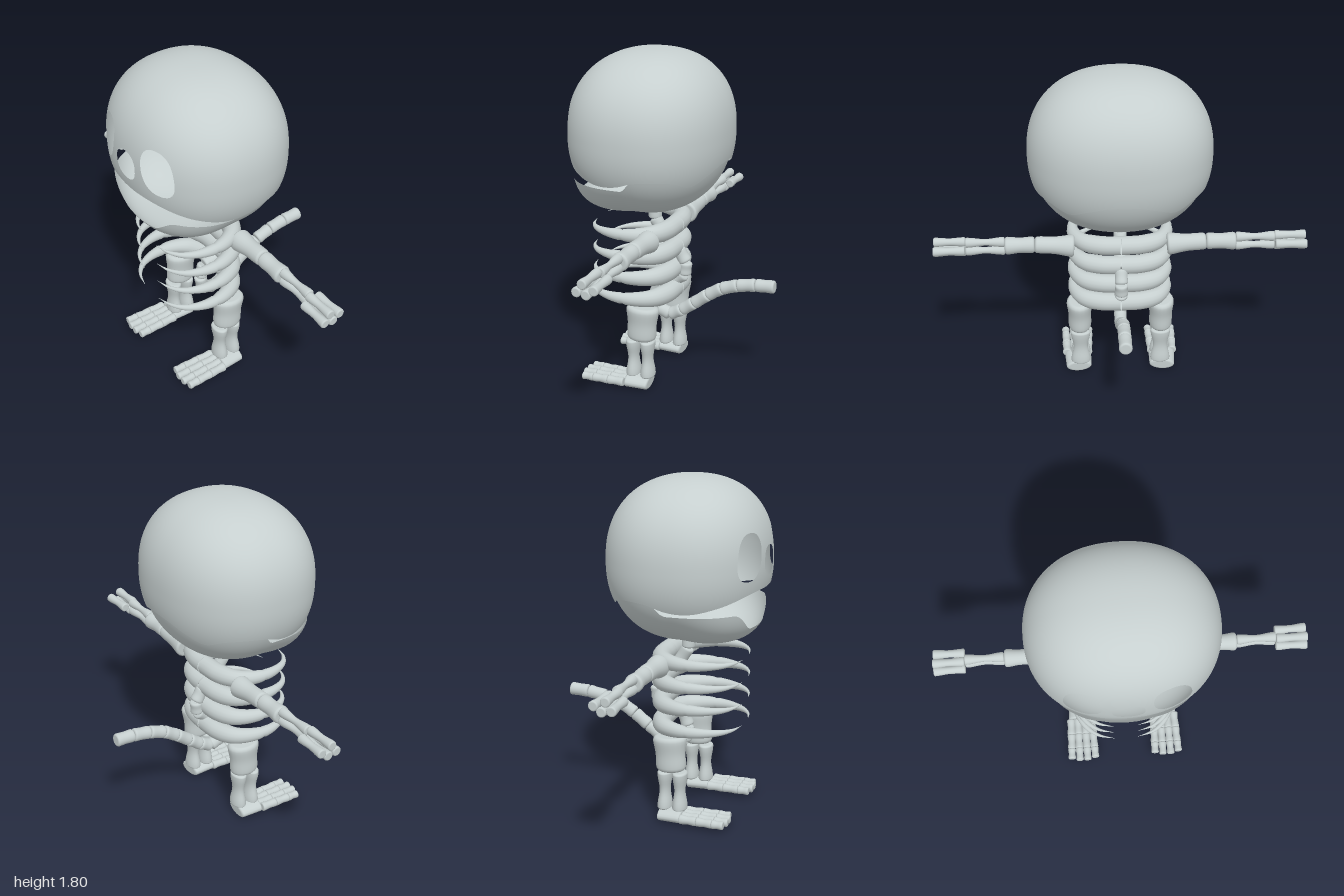
import * as THREE from 'three';

const bonePale = new THREE.MeshStandardMaterial({ color: 0xc6cfcf, side: THREE.DoubleSide });
bonePale.name = 'paleBone';

const UP = new THREE.Vector3(0, 1, 0);
const V = (x, y, z) => new THREE.Vector3(x, y, z);

function addMesh(parent, name, geometry) {
  const mesh = new THREE.Mesh(geometry, bonePale);
  mesh.name = name;
  parent.add(mesh);
  return mesh;
}

// Straight bone with rounded ends and a waist; "flat" widens its local x axis
function bone(parent, name, p, q, r0, r1 = r0, waist = 0.93, flat = 1) {
  const dir = q.clone().sub(p);
  const len = dir.length();
  const e = Math.min(0.3 * Math.min(r0, r1), len * 0.15);
  const profile = [[0, 0]];
  for (let k = 0; k <= 4; k++) {
    const a = (k / 4) * Math.PI / 2;
    profile.push([r0 - e + e * Math.sin(a), e - e * Math.cos(a)]);
  }
  for (let k = 1; k < 10; k++) {
    const t = k / 10;
    const pinch = 1 - (1 - waist) * Math.sin(t * Math.PI) ** 2;
    profile.push([(r0 + (r1 - r0) * t) * pinch, e + (len - 2 * e) * t]);
  }
  for (let k = 0; k <= 4; k++) {
    const a = (k / 4) * Math.PI / 2;
    profile.push([r1 - e + e * Math.cos(a), len - e + e * Math.sin(a)]);
  }
  profile.push([0, len]);
  const geo = new THREE.LatheGeometry(profile.map(([x, y]) => new THREE.Vector2(x, y)), 20);
  geo.scale(flat, 1, 1);
  const mesh = addMesh(parent, name, geo);
  mesh.position.copy(p);
  mesh.quaternion.setFromUnitVectors(UP, dir.normalize());
}

// ---- Skull dimensions ----
const CY = 1.38, CZ = 0.135, RX = 0.485, RZ = 0.42, RY = 0.425, P = 2.2, N = 2.3;

// Eye and nose openings: below 1 is inside
const openings = [
  { x: 0.214, y: 1.432, rx: 0.092, ry: 0.118, lean: -0.17 },
  { x: -0.214, y: 1.432, rx: 0.092, ry: 0.118, lean: 0.17 },
  { x: 0, y: 1.388, rx: 0.08, ry: 0.077, lean: 0 },
];
function openingValue(o, x, y) {
  const dx = Math.abs(x - o.x - o.lean * (y - o.y)) / o.rx;
  const dy = Math.abs(y - o.y) / o.ry;
  return (dx ** 2.4 + dy ** 2.4) ** (1 / 2.4);
}
function frontZ(x, y) {
  const t = Math.abs(y - CY) / RY;
  const h = (1 - t ** N) ** (1 / N);
  return CZ + RZ * (h ** P - (Math.abs(x) / RX) ** P) ** (1 / P);
}

// Superellipsoid shell from heights lo(azimuth) to hi(azimuth)
function shell(cols, rows, lo, hi, sharpness, scale, cut) {
  const pos = [], index = [], outside = [];
  const angleOf = (y, n) => {
    const t = Math.max(-1, Math.min(1, (y - CY) / RY));
    return Math.sign(t) * Math.asin(Math.abs(t) ** (n / 2));
  };
  for (let j = 0; j <= rows; j++) {
    for (let i = 0; i < cols; i++) {
      const a = (i / cols) * Math.PI * 2, s = Math.sin(a), c = Math.cos(a);
      const n = sharpness(c);
      const deg = Math.acos(Math.max(-1, Math.min(1, c))) * 180 / Math.PI;
      const f0 = angleOf(lo(deg), n), f1 = angleOf(hi(deg), n);
      const f = f0 + (f1 - f0) * j / rows;
      const h = Math.max(0, Math.cos(f)) ** (2 / n);
      const rho = scale * h / (Math.abs(s) ** P + Math.abs(c) ** P) ** (1 / P);
      let x = RX * rho * s, z = CZ + RZ * rho * c;
      let y = CY + RY * Math.sign(f) * Math.abs(Math.sin(f)) ** (2 / n);
      let solid = true;
      if (cut && c > 0) {
        for (const o of openings) {
          const v = openingValue(o, x, y);
          if (v > 1) continue;
          solid = false;
          if (v > 0.6) {
            // pull the inner ring onto the outline of the opening
            x = o.x + (x - o.x) / v;
            y = o.y + (y - o.y) / v;
            z = frontZ(x, y);
          }
        }
      }
      pos.push(x, y, z);
      outside.push(solid);
    }
  }
  for (let j = 0; j < rows; j++) {
    for (let i = 0; i < cols; i++) {
      const k = (i + 1) % cols;
      const A = j * cols + i, B = j * cols + k, C = B + cols, D = A + cols;
      for (const tri of [[A, B, C], [A, C, D]]) {
        if (tri.some((v) => outside[v])) index.push(...tri);
      }
    }
  }
  const geo = new THREE.BufferGeometry();
  geo.setAttribute('position', new THREE.Float32BufferAttribute(pos, 3));
  geo.setIndex(index);
  geo.computeVertexNormals();
  return geo;
}

function buildHead(parent) {
  const head = new THREE.Group();
  head.name = 'head';
  parent.add(head);
  // Wavy lower edge of the cranium, by degrees from the front
  const edge = new THREE.CubicInterpolant(
    [0, 20, 32, 50, 72, 88, 102, 118, 130, 143, 158, 170, 180],
    [1.25, 1.25, 1.235, 1.2, 1.17, 1.18, 1.21, 1.215, 1.205, 1.17, 1.21, 1.24, 1.245], 1);
  addMesh(head, 'cranium', shell(240, 80, (d) => edge.evaluate(d)[0], () => CY + RY,
    () => N, 1, true));
  // Jaw bowl: low lip at the front, rising at the cheeks and tucking in at the back
  const step = THREE.MathUtils.smoothstep;
  const lip = (d) => 1.052 + 0.098 * step(d, 16, 38) + 0.06 * step(d, 90, 101)
    + 0.04 * step(d, 148, 175);
  addMesh(head, 'jaw', shell(120, 32, () => CY - RY, lip,
    (c) => N + 2.2 * Math.max(0, c) ** 2, 0.965, false));
}

function buildRibs(parent) {
  const seg = 48, sides = 16;
  for (const y of [0.865, 0.745, 0.627, 0.508]) {
    for (const s of [1, -1]) {
      const path = new THREE.CatmullRomCurve3([
        V(0, y, 0.01), V(0.11, y, 0.018), V(0.2, y, 0.06), V(0.25, y, 0.15),
        V(0.255, y, 0.26), V(0.215, y, 0.36), V(0.15, y, 0.415), V(0.065, y, 0.44),
      ].map((p) => p.setX(p.x * s)));
      const geo = new THREE.TubeGeometry(path, seg, 1, sides);
      const pos = geo.attributes.position;
      for (let i = 0; i <= seg; i++) {
        const c = path.getPointAt(i / seg);
        // thick at the spine, pointed at the breast, with a joint halfway
        const joint = 1 - 0.15 * Math.exp(-(((c.z - 0.2) / 0.008) ** 2));
        const r = Math.max(0.001, 0.051 * Math.min(1, (1 - i / seg) / 0.78)) * joint;
        for (let k = 0; k <= sides; k++) {
          const n = i * (sides + 1) + k;
          const v = V().fromBufferAttribute(pos, n).sub(c).multiplyScalar(r).add(c);
          pos.setXYZ(n, v.x, v.y, v.z);
        }
      }
      addMesh(parent, 'rib', geo);
    }
  }
}

function chain(parent, name, points, r) {
  for (let i = 0; i + 1 < points.length; i++) {
    bone(parent, name, V(0, ...points[i]), V(0, ...points[i + 1]), r, r, 0.95);
  }
}

function buildLimbs(parent, s) {
  const W = (x, y, z) => V(x * s, y, z);
  // Arm
  bone(parent, 'shoulder', W(0.25, 0.847, 0.05), W(0.46, 0.86, 0.05), 0.06, 0.045, 0.9);
  bone(parent, 'upperArm', W(0.46, 0.86, 0.05), W(0.62, 0.857, 0.05), 0.044, 0.048, 0.9);
  for (const y of [0.881, 0.832]) {
    bone(parent, 'forearm', W(0.62, y, 0.05), W(0.83, y, 0.05), 0.027, 0.027, 0.66);
  }
  for (const [y, z] of [[0.882, 0.06], [0.858, 0], [0.84, 0.09], [0.832, 0.04]]) {
    bone(parent, 'finger', W(0.83, y, 0.05 + (z - 0.05) * 0.9), W(1, y, z), 0.025, 0.025, 0.8);
  }
  // Leg
  bone(parent, 'thigh', W(0.228, 0.28, 0.11), W(0.228, 0.47, 0.1), 0.08, 0.09, 0.94, 0.8);
  for (const z of [0.157, 0.075]) {
    bone(parent, 'shin', W(0.226, 0.065, z), W(0.226, 0.275, z), 0.039, 0.039, 0.72, 1.42);
  }
  // Foot with four jointed toes
  bone(parent, 'heel', W(0.237, 0.038, 0.055), W(0.243, 0.042, 0.185), 0.034, 0.036, 1, 2.1);
  for (let k = 0; k < 4; k++) {
    const off = (k - 1.5);
    const cuts = [0.183, 0.275, 0.36, 0.44 - 0.012 * Math.abs(off)];
    for (let j = 0; j < 3; j++) {
      const x = (z) => 0.245 + off * (0.04 + 0.025 * (z - 0.18));
      bone(parent, 'toe', W(x(cuts[j]), 0.043, cuts[j]), W(x(cuts[j + 1]), 0.043, cuts[j + 1]),
        0.025 - 0.001 * j, 0.024 - 0.001 * j, 0.88);
    }
  }
}

export function createModel() {
  const model = new THREE.Group();
  model.name = 'skeletonFigure';
  buildHead(model);
  buildRibs(model);
  // Spine and tail as chains of [y, z] joints
  chain(model, 'spineBone', [[1.02, 0.13], [0.89, 0.125], [0.8, 0.07], [0.73, -0.01], [0.66, -0.052],
    [0.59, -0.045], [0.545, 0.02], [0.53, 0.1], [0.455, 0.125], [0.37, 0.11], [0.345, 0.04]], 0.036);
  chain(model, 'tailBone', [[0.345, 0.04], [0.38, -0.03], [0.43, -0.1], [0.49, -0.18],
    [0.54, -0.26], [0.57, -0.35], [0.587, -0.45], [0.592, -0.555]], 0.035);
  for (const s of [1, -1]) buildLimbs(model, s);
  return model;
}
